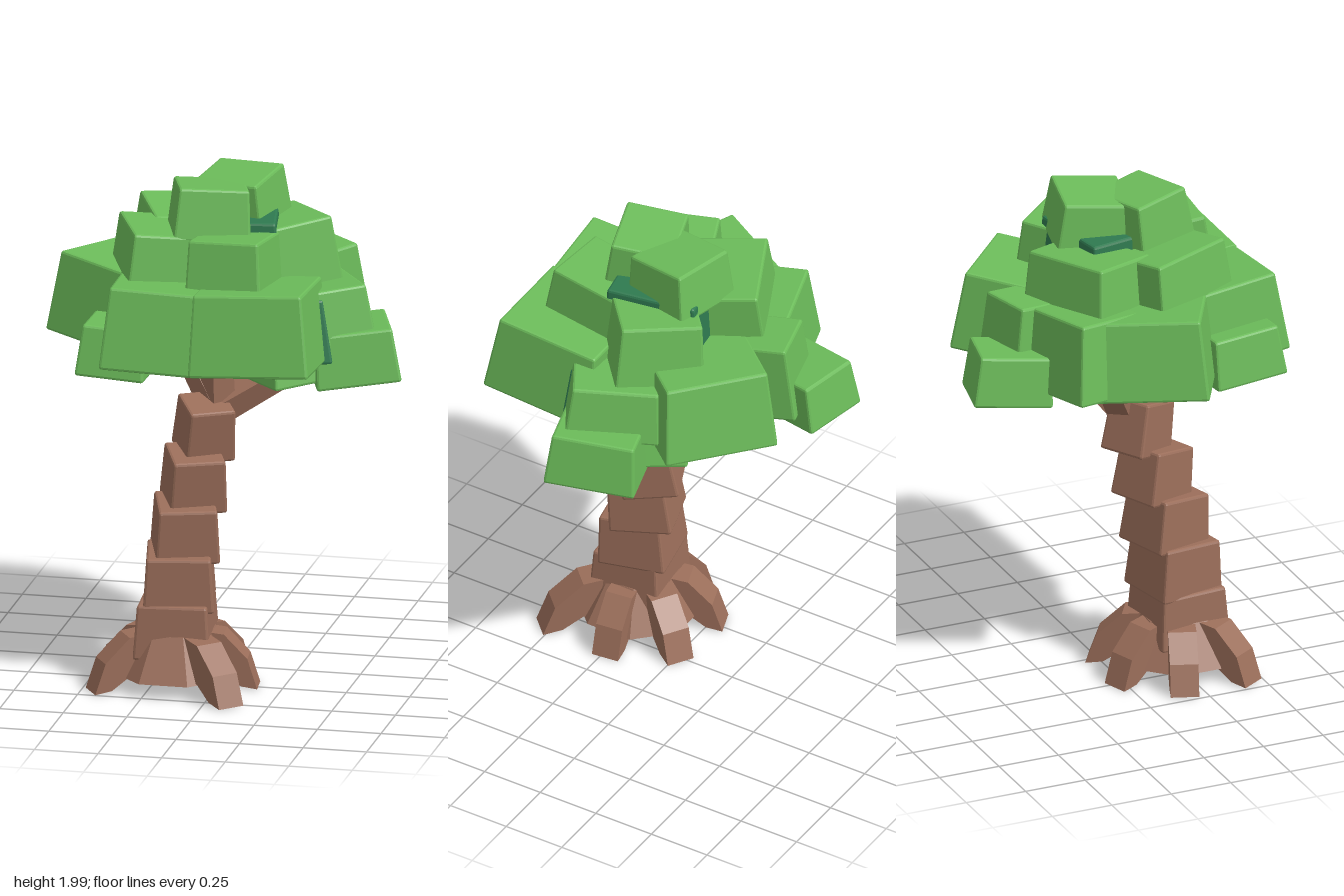
import * as THREE from 'three';
import { RoundedBoxGeometry } from 'three/addons/geometries/RoundedBoxGeometry.js';

const rad = THREE.MathUtils.degToRad;

function makeMaterial(name, color) {
  const m = new THREE.MeshStandardMaterial({ color });
  m.name = name;
  return m;
}

function addMesh(parent, name, geometry, material) {
  const m = new THREE.Mesh(geometry, material);
  m.name = name;
  parent.add(m);
  return m;
}

function addGroup(parent, name) {
  const g = new THREE.Group();
  g.name = name;
  parent.add(g);
  return g;
}

// Chamfered block whose sides lean in towards the top
function blockGeometry(w, h, d) {
  const g = new RoundedBoxGeometry(w, h, d, 1, 0.01);
  const p = g.attributes.position;
  for (let i = 0; i < p.count; i++) {
    const s = 0.95 - 0.1 * p.getY(i) / h;
    p.setX(i, p.getX(i) * s);
    p.setZ(i, p.getZ(i) * s);
  }
  g.computeVertexNormals();
  return g;
}

// Cylinder with flat-shaded facets
function facetedCylinder(top, bottom, height, sides) {
  const g = new THREE.CylinderGeometry(top, bottom, height, sides).toNonIndexed();
  g.computeVertexNormals();
  return g;
}

// Stacked blocks that shrink and twist, each tipped against the lean
function buildTrunk(tree, bark) {
  const trunk = addGroup(tree, 'trunk');
  for (let i = 0; i < 5; i++) {
    const t = i / 4, width = 0.3 - 0.1 * t;
    const block = addMesh(trunk, 'trunkBlock', blockGeometry(width, 0.215, width), bark);
    block.position.set(-0.165 + 0.085 * t ** 1.6, 0.235 + 0.19 * i, 0.265 - 0.125 * t ** 1.7);
    block.rotation.set(rad(13 * t), rad(5 + 25 * t), 0, 'YXZ');
  }
}

// Flared foot with seven-fold roots, the front place left empty
function buildRoots(tree, bark) {
  const roots = addGroup(tree, 'roots');
  roots.position.set(-0.165, 0, 0.265);
  const flare = addMesh(roots, 'rootFlare', facetedCylinder(0.155, 0.25, 0.17, 8), bark);
  flare.position.y = 0.14;
  flare.rotation.y = Math.PI / 8;

  const profile = new THREE.Shape();
  profile.moveTo(0.08, 0.06).lineTo(0.2, 0.06).lineTo(0.27, 0.01).lineTo(0.335, 0)
    .lineTo(0.295, 0.12).lineTo(0.2, 0.215).lineTo(0.08, 0.23);
  const geometry = new THREE.ExtrudeGeometry(profile, { depth: 0.11, bevelEnabled: false });
  geometry.translate(0, 0, -0.055);
  const lengths = [1.18, 0.95, 1.05, 1.0, 0.96, 1.04];
  lengths.forEach((length, i) => {
    const root = addMesh(roots, 'root', geometry, bark);
    root.rotation.y = rad(-45 + i * 360 / 7);
    root.scale.x = length;
  });
}

// Thick square branches fanning from the trunk top into the crown
function buildBranches(tree, bark) {
  const start = new THREE.Vector3(-0.04, 1.06, 0.09);
  for (const end of [[-0.3, 1.42, -0.12], [0.36, 1.29, -0.08], [-0.04, 1.36, 0.12]]) {
    const dir = new THREE.Vector3(...end).sub(start);
    const branch = addMesh(tree, 'branch', facetedCylinder(0.06, 0.07, dir.length(), 4), bark);
    branch.position.copy(start).addScaledVector(dir, 0.5);
    branch.quaternion.setFromUnitVectors(new THREE.Vector3(0, 1, 0), dir.normalize());
  }
}

// Tiers share a bottom and top; each block is x, z, width, depth, yaw
const tiers = [
  { name: 'summitLeaves', bottom: 1.77, top: 1.975, blocks: [
    [-0.055, 0.16, 0.3, 0.27, 18], [0.02, -0.03, 0.3, 0.29, -12]] },
  { name: 'upperLeaves', bottom: 1.52, top: 1.81, blocks: [
    [-0.27, 0.2, 0.26, 0.4, 22], [0.07, 0.28, 0.31, 0.36, -4],
    [0.18, -0.01, 0.35, 0.36, -50], [-0.19, -0.12, 0.41, 0.32, 25]] },
  { name: 'middleLeaves', bottom: 1.32, top: 1.64, blocks: [
    [0.16, -0.22, 0.45, 0.46, -42], [-0.43, 0.04, 0.35, 0.45, -28],
    [-0.33, -0.2, 0.35, 0.32, 16], [-0.2, 0.41, 0.39, 0.41, 4],
    [0.18, 0.37, 0.47, 0.47, 2], [-0.11, -0.36, 0.25, 0.24, 14]] },
  { name: 'sideLeaves', bottom: 1.36, top: 1.58, blocks: [
    [0.34, 0.07, 0.36, 0.37, 30]] },
  { name: 'lowerLeaves', bottom: 1.28, top: 1.48, blocks: [
    [-0.2, -0.46, 0.27, 0.31, -14], [-0.36, 0.42, 0.27, 0.3, 2],
    [-0.14, 0.25, 0.48, 0.44, 12], [-0.08, -0.18, 0.42, 0.4, -20]] },
  { name: 'hangingLeaves', bottom: 1.21, top: 1.42, blocks: [
    [0.48, 0.05, 0.33, 0.36, 18], [0.26, 0.05, 0.4, 0.42, 38]] },
];

function buildCrown(tree, leaf, shade) {
  const crown = addGroup(tree, 'crown');
  // Dark heart glimpsed through the gaps between blocks
  for (const [width, bottom, top, yaw] of [[0.7, 1.31, 1.56, 20], [0.4, 1.5, 1.84, 10]]) {
    const core = addMesh(crown, 'crownCore', blockGeometry(width, top - bottom, width), shade);
    core.position.set(0, (bottom + top) / 2, 0.04);
    core.rotation.y = rad(yaw);
  }

  for (const { name, bottom, top, blocks } of tiers) {
    const tier = addGroup(crown, name);
    for (const [x, z, w, d, yaw] of blocks) {
      const block = addMesh(tier, 'leafBlock', blockGeometry(w, top - bottom, d), leaf);
      block.position.set(x, (bottom + top) / 2, z);
      block.rotation.y = rad(yaw);
      // Tops lean in towards the middle of the crown
      block.rotateOnWorldAxis(new THREE.Vector3(-z, 0, x).normalize(), rad(6));
    }
  }
}

export function createModel() {
  const tree = new THREE.Group();
  tree.name = 'tree';
  const bark = makeMaterial('bark brown', 0x9b6e5a);
  const leaf = makeMaterial('leaf green', 0x6cbc5a);
  const shade = makeMaterial('deep leaf green', 0x2f7a50);
  buildTrunk(tree, bark);
  buildRoots(tree, bark);
  buildBranches(tree, bark);
  buildCrown(tree, leaf, shade);
  return tree;
}
